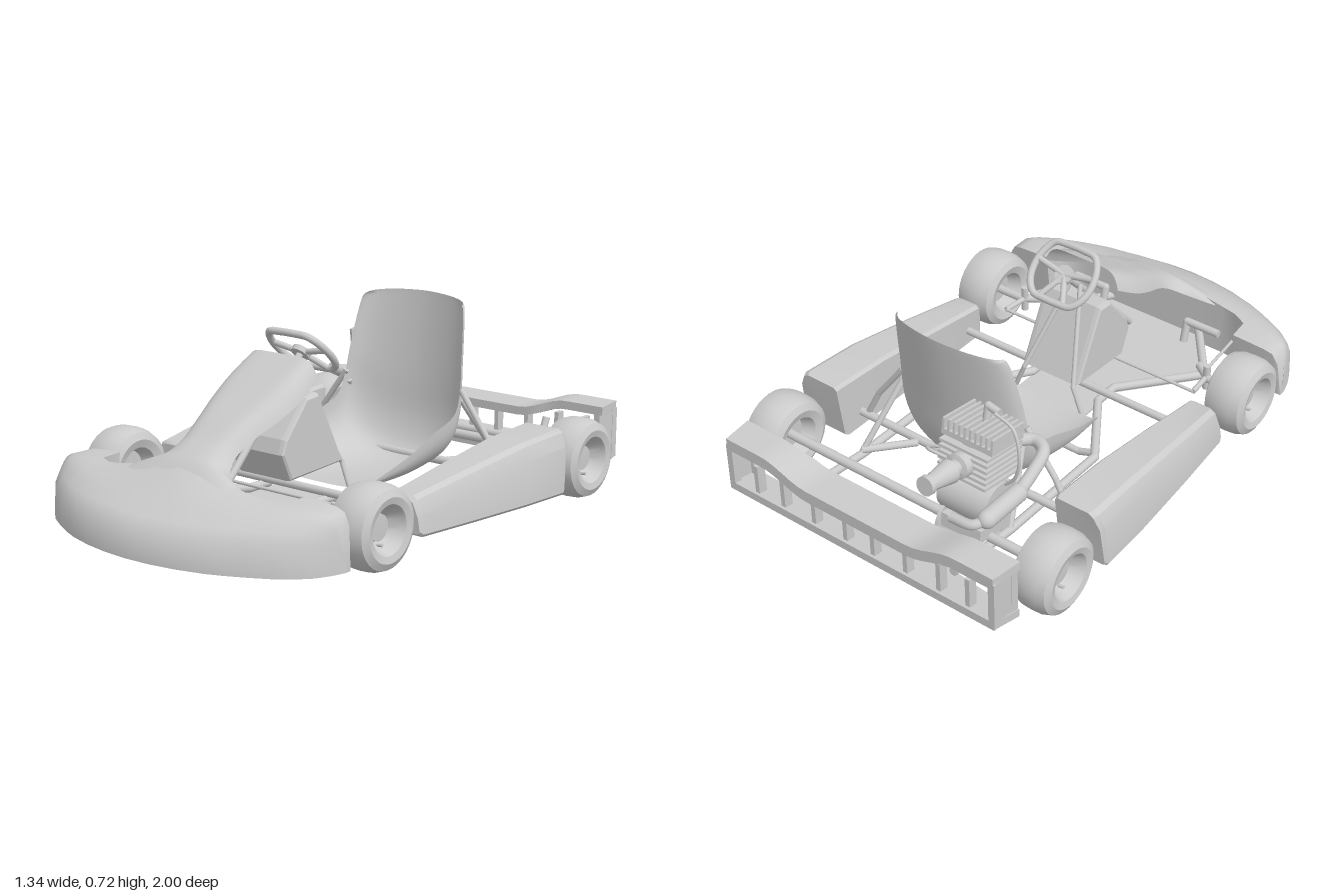
import * as THREE from 'three';
import { mergeGeometries, toCreasedNormals } from 'three/addons/utils/BufferGeometryUtils.js';

const mat = new THREE.MeshStandardMaterial({ color: 0xcccccc, side: THREE.DoubleSide });
const V = (p) => new THREE.Vector3(...p);
const flip = (pts, s) => pts.map(([x, y, z]) => [x * s, y, z]);

function add(parent, name, geo, pos = [0, 0, 0], rot = [0, 0, 0]) {
  const m = new THREE.Mesh(geo, mat);
  m.name = name;
  m.position.set(...pos);
  m.rotation.set(...rot);
  parent.add(m);
}

// straight tubes joined by balls at the corners
function rodGeo(pts, r) {
  const parts = [];
  const p = pts.map(V);
  for (let i = 0; i < p.length - 1; i++) {
    const d = p[i + 1].clone().sub(p[i]);
    const g = new THREE.CylinderGeometry(r, r, d.length(), 12);
    g.applyQuaternion(new THREE.Quaternion().setFromUnitVectors(V([0, 1, 0]), d.clone().normalize()));
    const c = p[i].clone().add(p[i + 1]).multiplyScalar(0.5);
    parts.push(g.translate(c.x, c.y, c.z));
    if (i > 0) parts.push(new THREE.SphereGeometry(r, 12, 8).translate(p[i].x, p[i].y, p[i].z));
  }
  return mergeGeometries(parts);
}
const bentGeo = (pts, r, closed = false) =>
  new THREE.TubeGeometry(new THREE.CatmullRomCurve3(pts.map(V), closed), 48, r, 12, closed);

// skin over rows of points; ring closes each row and caps both ends
function skin(rows, ring = false, crease = 0.6) {
  if (ring) {
    rows = rows.map((r) => [...r, r[0]]);
    const cap = (r) => {
      const n = r.length - 1, c = [0, 1, 2].map((k) => r.slice(0, n).reduce((a, p) => a + p[k], 0) / n);
      return r.map(() => c);
    };
    rows = [cap(rows[0]), ...rows, cap(rows[rows.length - 1])];
  }
  const n = rows[0].length, idx = [];
  for (let i = 0; i < rows.length - 1; i++)
    for (let j = 0; j < n - 1; j++) {
      const a = i * n + j, b = a + n;
      idx.push(a, b, a + 1, b, b + 1, a + 1);
    }
  const g = new THREE.BufferGeometry();
  g.setAttribute('position', new THREE.Float32BufferAttribute(rows.flat(2), 3));
  g.setIndex(idx);
  g.computeVertexNormals();
  return toCreasedNormals(g, crease);
}

// smooth interpolation through stations of numbers
function stations(keys, steps) {
  const out = [];
  for (let i = 0; i <= steps; i++) {
    const t = (i / steps) * (keys.length - 1), k = Math.min(Math.floor(t), keys.length - 2), f = t - k;
    const at = (q) => keys[Math.max(0, Math.min(keys.length - 1, q))];
    out.push(keys[0].map((_, c) => {
      const [a, b, d, e] = [at(k - 1)[c], at(k)[c], at(k + 1)[c], at(k + 2)[c]];
      return b + 0.5 * f * (d - a + f * (2 * a - 5 * b + 4 * d - e + f * (3 * (b - d) + e - a)));
    }));
  }
  return out;
}

function wheel(parent, name, x, z, w) {
  const k = w / 0.16, s = Math.sign(x);
  const prof = [[0, -0.02], [0.06, -0.02], [0.08, -0.07], [0.11, -0.079], [0.135, -0.066], [0.146, -0.035], [0.148, 0],
    [0.146, 0.035], [0.135, 0.066], [0.11, 0.079], [0.086, 0.073], [0.08, 0.06], [0.05, 0.005], [0.045, 0.03], [0, 0.032]];
  const g = new THREE.LatheGeometry(prof.map(([r, y]) => new THREE.Vector2(r, y * k)), 32);
  add(parent, name, toCreasedNormals(g, 0.7), [x, 0.148, z], [0, 0, -s * Math.PI / 2]);
  add(parent, 'tyreValve', rodGeo([[x, 0.085, z], [x + s * 0.045, 0.092, z]], 0.006));
}

function buildNose(g) {
  // x, front z, ridge z, back z, front edge height, top height
  const half = [[0, 1, 0.73, 0.73, 0.155, 0.315], [0.1, 0.994, 0.73, 0.73, 0.155, 0.305], [0.2, 0.978, 0.73, 0.73, 0.155, 0.28], [0.3, 0.95, 0.73, 0.729, 0.155, 0.263],
    [0.36, 0.925, 0.728, 0.724, 0.157, 0.257], [0.42, 0.895, 0.72, 0.695, 0.16, 0.255], [0.43, 0.89, 0.718, 0.607, 0.16, 0.255], [0.5, 0.85, 0.7, 0.607, 0.163, 0.252],
    [0.56, 0.8, 0.68, 0.61, 0.165, 0.247], [0.595, 0.76, 0.67, 0.615, 0.165, 0.236], [0.618, 0.71, 0.66, 0.62, 0.145, 0.195], [0.633, 0.66, 0.645, 0.633, 0.06, 0.08]];
  const all = [...half.slice(1).reverse().map(([x, ...r]) => [-x, ...r]), ...half];
  add(g, 'frontFairing', skin(all.map(([x, zf, zr, zb, yf, yt]) => {
    const bulge = 0.025 * Math.min(1, Math.abs(x) / 0.3);
    const slope = [0, 0.2, 0.4, 0.6, 0.8, 1].map((t) => [x, yf + (yt - yf) * t + bulge * Math.sin(Math.PI * t), zf + (zr - zf) * t - 0.008 * (1 - t)]);
    return [[x, 0.055, Math.max(zb, 0.632)], [x, 0.055, zf], ...slope, [x, yt, zb]];
  }), true, 1.3));
  // raised centre panel with folded edges: z, centre y, half width, droop of the edge, sharpness of the fold
  const rows = stations([[0.25, 0.607, 0.162, 0.066, 8], [0.35, 0.548, 0.174, 0.068, 7], [0.45, 0.488, 0.163, 0.06, 6], [0.55, 0.43, 0.138, 0.052, 5],
    [0.63, 0.38, 0.13, 0.05, 4], [0.69, 0.346, 0.165, 0.06, 3], [0.73, 0.32, 0.26, 0.06, 2.5], [0.78, 0.272, 0.33, 0.04, 2.5]], 28);
  add(g, 'frontPanel', skin(rows.map(([z, y, w, d, fold]) => Array.from({ length: 25 }, (_, j) => {
    const s = Math.sin((j / 12 - 1) * Math.PI / 2);
    return [w * s, y - d * Math.abs(s) ** fold, z - 0.01 * Math.abs(s) ** fold];
  })), false, 1));
}

function buildSeat(g) {
  // centre y and z, edge y and z, half width, roundness
  const rows = stations([[0.105, 0.04, 0.15, 0.02, 0.24, 0.75], [0.092, -0.12, 0.21, -0.13, 0.268, 0.75], [0.09, -0.29, 0.27, -0.27, 0.275, 0.8], [0.12, -0.43, 0.31, -0.38, 0.275, 0.85],
    [0.23, -0.498, 0.38, -0.42, 0.272, 0.95], [0.4, -0.525, 0.49, -0.44, 0.262, 1.1], [0.58, -0.55, 0.61, -0.465, 0.248, 1.15], [0.69, -0.565, 0.68, -0.482, 0.235, 1.15], [0.716, -0.568, 0.695, -0.492, 0.222, 1.15]], 32);
  add(g, 'seatShell', skin(rows.map(([cy, cz, ey, ez, w, p]) => Array.from({ length: 25 }, (_, j) => {
    const a = (j / 12 - 1) * Math.PI / 2, f = 1 - Math.abs(Math.cos(a)) ** Math.min(p, 1);
    return [w * Math.sign(a) * Math.abs(Math.sin(a)) ** p, cy + (ey - cy) * f, cz + (ez - cz) * f];
  })), false, 1));
}

function buildSteering(g) {
  const sw = new THREE.Group();
  sw.name = 'steeringWheel';
  sw.position.set(0, 0.602, 0.135);
  sw.rotation.x = 0.82;
  g.add(sw);
  const half = [[0.04, 0.104, 0], [0.088, 0.096, 0], [0.122, 0.03, 0], [0.118, -0.05, 0], [0.08, -0.1, 0], [0.03, -0.106, 0]];
  add(sw, 'rim', bentGeo([...half, ...flip(half, -1).reverse()], 0.013, true));
  for (const [x, y] of [[0.115, 0.02], [-0.115, 0.02], [0.05, -0.1], [-0.05, -0.1]]) add(sw, 'spoke', rodGeo([[0, 0, 0.01], [x, y, 0]], 0.011));
  add(sw, 'hub', new THREE.CylinderGeometry(0.035, 0.035, 0.02, 20), [0, 0, 0.01], [Math.PI / 2, 0, 0]);
  add(g, 'steeringColumn', rodGeo([[0, 0.595, 0.14], [0, 0.16, 0.56]], 0.013));
  // tank and shroud under the column
  const sh = new THREE.Shape([[0.07, 0.215], [0.33, 0.2], [0.37, 0.29], [0.355, 0.335], [0.25, 0.46], [0.195, 0.465]].map(([z, y]) => new THREE.Vector2(-z, y)));
  const tank = new THREE.ExtrudeGeometry(sh, { depth: 0.21, bevelSize: 0.01, bevelThickness: 0.02, bevelSegments: 2 });
  add(g, 'fuelTank', tank.translate(0, 0, -0.105).rotateY(Math.PI / 2));
  for (const s of [1, -1]) add(g, 'columnSupport', rodGeo(flip([[0.02, 0.53, 0.21], [0.11, 0.2, 0.05], [0.15, 0.1, 0.05]], s), 0.009));
}

function buildRearBumper(g) {
  // top rail dips in the middle, bottom rail slopes up to the rear
  const rail = (name, n, top, wFront, section) => add(g, name, skin(Array.from({ length: n }, (_, i) => {
    const s = (2 * i) / (n - 1) - 1, y = top(Math.abs(s)), front = -0.865 - 0.015 * THREE.MathUtils.smoothstep(Math.abs(s), 0.5, 0.6);
    return section.map(([f, dy]) => [s * (f ? wFront : 0.575), y + dy, f ? front : -1]);
  }), true, 0.5));
  rail('bumperTopRail', 33, (s) => 0.255 + 0.05 * THREE.MathUtils.smoothstep(s, 0.38, 0.72), 0.59, [[0, 0], [1, -0.003], [1, -0.035], [0, -0.045]]);
  rail('bumperBottomRail', 9, () => 0.12, 0.585, [[0, 0], [1, -0.025], [1, -0.055], [0, -0.032]]);
  for (const s of [1, -1]) {
    for (const x of [0.06, 0.2, 0.34, 0.46]) add(g, 'bumperUpright', new THREE.BoxGeometry(0.018, 0.13, 0.035), [s * x, 0.167, -0.97]);
    for (const z of [-0.985, -0.895]) add(g, 'bumperEndPost', new THREE.BoxGeometry(0.025, 0.19, 0.03), [s * 0.567, 0.185, z]);
    add(g, 'bumperEndPlate', new THREE.BoxGeometry(0.012, 0.185, 0.1), [s * 0.572, 0.187, -0.94]);
  }
}

function buildEngine(g) {
  const e = new THREE.Group();
  e.name = 'engine';
  e.position.set(-0.245, 0.42, -0.648);
  e.rotation.x = 0.15;
  g.add(e);
  add(e, 'cylinder', new THREE.CylinderGeometry(0.07, 0.07, 0.16, 20));
  for (let i = 0; i < 6; i++) add(e, 'coolingFin', new THREE.BoxGeometry(0.2, 0.01, 0.185), [0, -0.06 + i * 0.022, 0]);
  add(e, 'head', new THREE.BoxGeometry(0.21, 0.02, 0.165), [0, 0.075, 0.005]);
  for (let i = 0; i < 10; i++) add(e, 'headFin', new THREE.BoxGeometry(0.009, 0.045, 0.165), [-0.1 + i * 0.0222, 0.102, 0.005]);
  add(e, 'sparkPlug', rodGeo([[0, 0.1, 0.02], [0, 0.17, 0.025], [-0.05, 0.165, 0.02]], 0.014));
  add(e, 'crankcase', new THREE.CylinderGeometry(0.085, 0.085, 0.2, 24), [0, -0.16, 0], [0, 0, Math.PI / 2]);
  add(e, 'engineMount', new THREE.BoxGeometry(0.18, 0.05, 0.16), [0, -0.255, 0]);
  const intake = [[0, 0], [0.045, 0], [0.045, 0.05], [0.028, 0.055], [0.028, 0.075], [0.042, 0.085], [0.026, 0.185], [0.034, 0.19], [0.034, 0.21], [0, 0.21]];
  add(e, 'airIntake', toCreasedNormals(new THREE.LatheGeometry(intake.map((p) => new THREE.Vector2(...p)), 20), 0.6), [0, 0, -0.07], [-Math.PI / 2, 0, 0]);
  add(g, 'exhaustPipe', bentGeo([[-0.265, 0.4, -0.58], [-0.27, 0.392, -0.515], [-0.32, 0.388, -0.455], [-0.375, 0.385, -0.475], [-0.392, 0.35, -0.56], [-0.395, 0.32, -0.64]], 0.022));
  add(g, 'muffler', new THREE.CapsuleGeometry(0.033, 0.16, 6, 16), [-0.395, 0.32, -0.72], [Math.PI / 2, 0, 0]);
  add(g, 'tailPipe', bentGeo([[-0.395, 0.32, -0.79], [-0.37, 0.31, -0.84], [-0.28, 0.3, -0.845]], 0.018));
  add(g, 'plugCable', bentGeo([[-0.29, 0.585, -0.62], [-0.37, 0.565, -0.63], [-0.402, 0.48, -0.64], [-0.385, 0.38, -0.64], [-0.32, 0.31, -0.64]], 0.006));
  add(g, 'throttleCable', bentGeo([[-0.2, 0.45, -0.76], [-0.12, 0.45, -0.76], [-0.09, 0.4, -0.69], [-0.11, 0.3, -0.58], [-0.14, 0.15, -0.54]], 0.006));
  add(g, 'sprocket', new THREE.CylinderGeometry(0.08, 0.08, 0.01, 28), [-0.165, 0.148, -0.71], [0, 0, Math.PI / 2]);
}

function buildChassis(g) {
  add(g, 'rearAxle', rodGeo([[-0.6, 0.148, -0.71], [0.6, 0.148, -0.71]], 0.018));
  add(g, 'frontCrossTube', rodGeo([[-0.5, 0.125, 0.18], [0.5, 0.125, 0.18]], 0.015));
  add(g, 'rearCrossTube', rodGeo([[-0.5, 0.12, -0.435], [0.5, 0.12, -0.435]], 0.016));
  add(g, 'seatCrossTube', rodGeo([[-0.32, 0.1, -0.1], [-0.25, 0.074, -0.1], [0.25, 0.074, -0.1], [0.32, 0.1, -0.1]], 0.013));
  add(g, 'rearFrameTube', rodGeo([[-0.33, 0.13, -0.86], [0.33, 0.13, -0.86]], 0.016));
  add(g, 'innerRail', rodGeo([[-0.15, 0.12, -0.86], [-0.15, 0.12, -0.43]], 0.014));
  add(g, 'diagonalTube', rodGeo([[0.33, 0.12, -0.6], [0.2, 0.12, -0.45]], 0.014));
  add(g, 'tieRod', rodGeo([[-0.43, 0.15, 0.35], [0.43, 0.15, 0.35]], 0.006));
  const pan = [[0.15, 0.05], [0.15, 0.25], [0.37, 0.52], [0.2, 0.73]];
  const sh = new THREE.Shape([...pan, ...pan.map(([x, z]) => [-x, z]).reverse()].map((p) => new THREE.Vector2(...p)));
  add(g, 'floorPan', new THREE.ExtrudeGeometry(sh, { depth: 0.008, bevelEnabled: false }).rotateX(Math.PI / 2), [0, 0.085, 0]);
  for (const s of [1, -1]) {
    const rod = (name, pts, r) => add(g, name, rodGeo(flip(pts, s), r));
    rod('mainRail', [[0.33, 0.13, -0.9], [0.33, 0.1, -0.6], [0.33, 0.1, -0.12], [0.15, 0.1, 0.15], [0.15, 0.1, 0.25], [0.37, 0.1, 0.52], [0.2, 0.1, 0.74]], 0.016);
    rod('bumperBracket', [[0.33, 0.13, -0.86], [0.33, 0.22, -0.9]], 0.014);
    rod('seatStrut', [[0.27, 0.4, -0.43], [0.39, 0.24, -0.43], [0.45, 0.12, -0.43]], 0.011);
    rod('seatStay', [[0.265, 0.36, -0.44], [0.33, 0.11, -0.6]], 0.011);
    rod('spindle', [[0.36, 0.148, 0.5], [0.43, 0.148, 0.45], [0.55, 0.148, 0.45]], 0.016);
    rod('kingpin', [[0.42, 0.1, 0.455], [0.42, 0.2, 0.455]], 0.014);
    rod('steeringArm', [[0.42, 0.15, 0.45], [0.43, 0.15, 0.35]], 0.01);
    rod('brace', [[0.4, 0.16, 0.5], [0.36, 0.13, 0.72]], 0.006);
    rod('pedal', [[0.19, 0.1, 0.65], [0.19, 0.18, 0.67], [0.33, 0.18, 0.67]], 0.015);
    // side pod: z, inner x, outer x, bottom y, top y, forward offset of the bottom
    const pod = [[0.255, 0.485, 0.615, 0.08, 0.195, 0], [0.24, 0.48, 0.622, 0.07, 0.205, 0], [-0.02, 0.477, 0.645, 0.066, 0.243, 0],
      [-0.3, 0.475, 0.665, 0.062, 0.28, 0], [-0.535, 0.475, 0.672, 0.06, 0.293, 0.025], [-0.553, 0.48, 0.665, 0.068, 0.288, 0.028]];
    add(g, 'sidePod', skin(pod.map(([z, a, b, y, t, o]) => flip([[a, y, z + o], [b - 0.008, y, z + o], [b, y + 0.01, z + o], [b - 0.008, t - 0.06, z + o * 0.3],
      [b - 0.03, t - 0.012, z], [b - 0.05, t, z], [a + 0.012, t, z], [a, t - 0.012, z]], s)), true, 0.5));
    wheel(g, 'frontWheel', s * 0.57, 0.45, 0.165);
    wheel(g, 'rearWheel', s * 0.59, -0.71, 0.16);
  }
}

export function createModel() {
  const g = new THREE.Group();
  g.name = 'goKart';
  for (const build of [buildChassis, buildNose, buildSeat, buildSteering, buildRearBumper, buildEngine]) build(g);
  return g;
}
